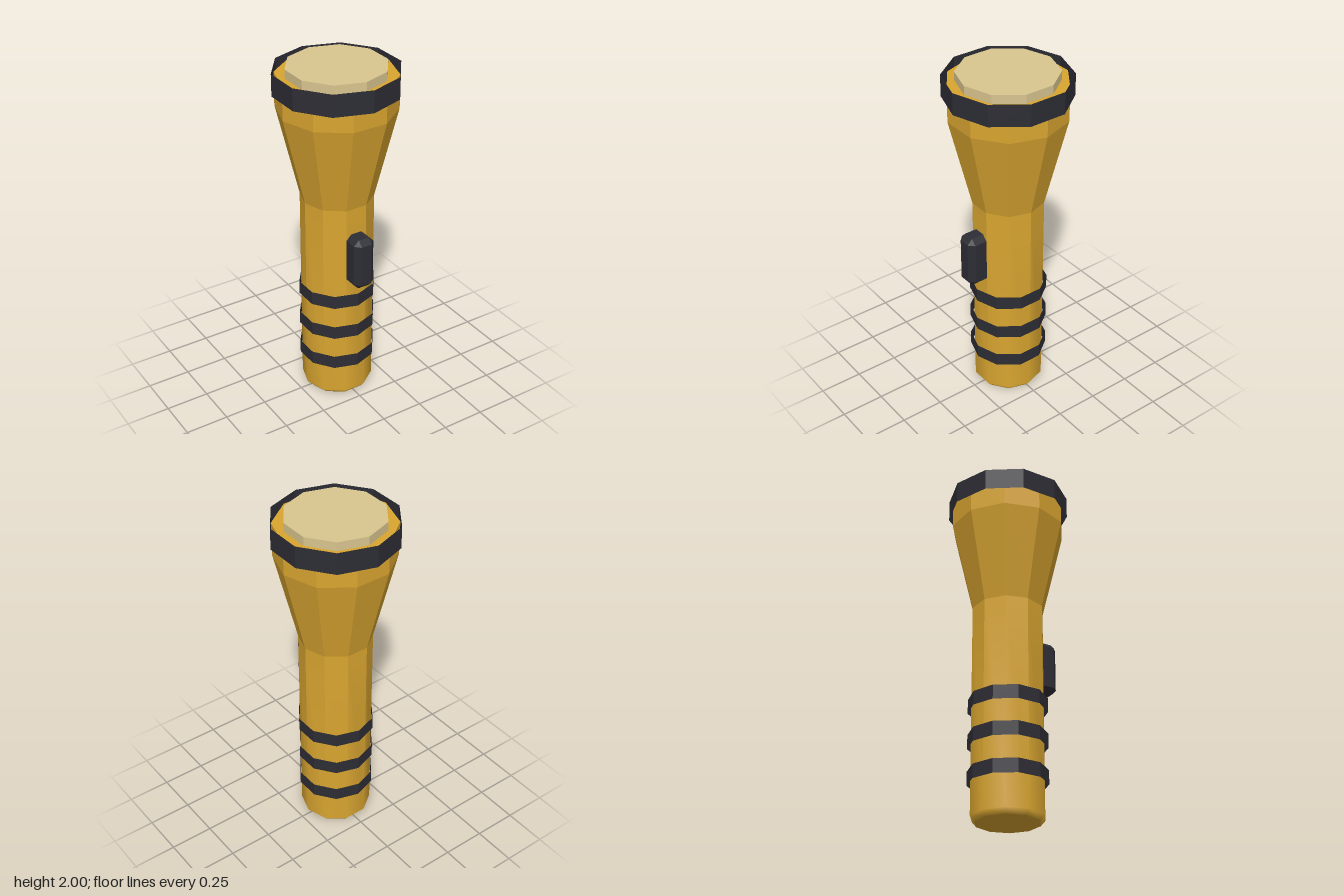
import * as THREE from 'three';
import { ConvexGeometry } from 'three/addons/geometries/ConvexGeometry.js';

const SIDES = 10;

function flat(geometry) {
  const g = geometry.toNonIndexed();
  g.computeVertexNormals();
  return g;
}

// Ten-sided casing: hard facets at the head, softening towards the tail
function casingGeometry() {
  const profile = [
    [0, 0], [0.18, 0], [0.205, 0.03], [0.205, 1.24], [0.33, 1.76], [0.33, 1.95], [0, 1.95],
  ].map(([r, y]) => new THREE.Vector2(r, y));
  const g = flat(new THREE.LatheGeometry(profile, SIDES, Math.PI / 2));
  const p = g.attributes.position, n = g.attributes.normal;
  for (let i = 0; i < p.count; i++) {
    if (p.getY(i) > 0.1 || n.getY(i) < -0.9) continue;
    const v = new THREE.Vector3(p.getX(i), 0, p.getZ(i));
    if (v.length() < 0.01) continue;
    v.normalize();
    if (p.getY(i) < 0.01) v.y = -0.8;
    v.normalize();
    n.setXYZ(i, v.x, v.y, v.z);
  }
  return g;
}

// Box with every edge and corner cut by c
function chamferBox(hx, hy, hz, c) {
  const points = [];
  for (const x of [-1, 1]) for (const y of [-1, 1]) for (const z of [-1, 1]) {
    points.push(
      new THREE.Vector3(x * hx, y * (hy - c), z * (hz - c)),
      new THREE.Vector3(x * (hx - c), y * hy, z * (hz - c)),
      new THREE.Vector3(x * (hx - c), y * (hy - c), z * hz),
    );
  }
  return new ConvexGeometry(points);
}

export function createModel() {
  const model = new THREE.Group();
  model.name = 'flashlight';
  const yellow = new THREE.MeshStandardMaterial({ name: 'yellow casing', color: 0xd9a530 });
  const black = new THREE.MeshStandardMaterial({ name: 'black rubber', color: 0x2d2d35, side: THREE.DoubleSide });
  const cream = new THREE.MeshStandardMaterial({ name: 'cream lens', color: 0xd9c58f });

  const add = (name, geometry, material, y = 0, z = 0) => {
    const mesh = new THREE.Mesh(geometry, material);
    mesh.name = name;
    mesh.position.set(0, y, z);
    model.add(mesh);
  };
  // Thin open collar
  const collar = (r, h) => flat(new THREE.CylinderGeometry(r, r, h, SIDES, 1, true));

  add('casing', casingGeometry(), yellow);
  add('lens', flat(new THREE.CylinderGeometry(0.277, 0.277, 0.06, SIDES)), cream, 1.97);
  add('headRing', collar(0.348, 0.125), black, 1.92);

  // Grip bands on the handle
  [0.25, 0.457, 0.663].forEach((y, i) => add(`gripBand${i + 1}`, collar(0.22, 0.08), black, y));

  // Slide switch on the front
  add('switch', chamferBox(0.063, 0.154, 0.09, 0.031), black, 0.932, 0.21);

  return model;
}
